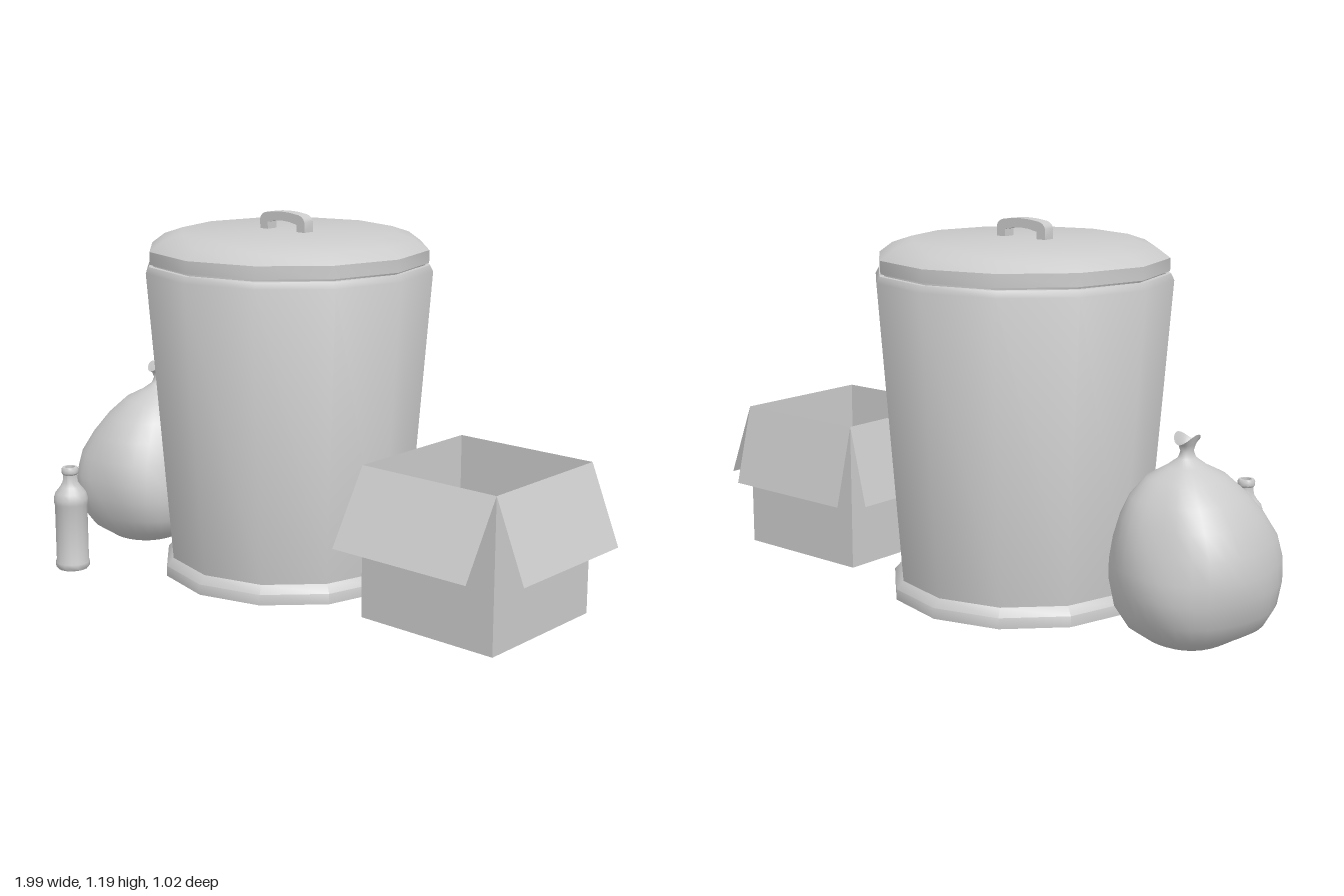
import * as THREE from 'three';
import { mergeVertices, toCreasedNormals } from 'three/addons/utils/BufferGeometryUtils.js';

const material = new THREE.MeshStandardMaterial({ color: 0xcccccc, side: THREE.DoubleSide });

function addMesh(parent, name, geometry, x = 0, y = 0, z = 0) {
  const mesh = new THREE.Mesh(geometry, material);
  mesh.name = name;
  mesh.position.set(x, y, z);
  parent.add(mesh);
  return mesh;
}

// Turned part from [radius, height] pairs, smooth with sharp rims
function turned(profile, sides) {
  const points = profile.map(([r, y]) => new THREE.Vector2(r, y));
  return toCreasedNormals(new THREE.LatheGeometry(points, sides), 0.75);
}

// Twelve-sided bin with flanged foot, domed lid and arched handle
function createBin() {
  const bin = new THREE.Group();
  bin.name = 'bin';
  bin.position.set(-0.105, 0, -0.045);
  addMesh(bin, 'binBody', turned([
    [0, 0.016], [0.416, 0.016], [0.416, 0.05], [0.393, 0.075],
    [0.465, 1.01], [0.455, 1.03], [0.44, 1.03],
  ], 12));
  addMesh(bin, 'binLid', turned([
    [0, 1.037], [0.452, 1.037], [0.452, 1.077], [0.41, 1.108], [0.35, 1.128], [0, 1.13],
  ], 12));

  const arch = new THREE.Shape();
  arch.moveTo(-0.095, 0);
  arch.lineTo(-0.095, 0.035);
  arch.quadraticCurveTo(-0.09, 0.05, -0.07, 0.055);
  arch.quadraticCurveTo(0, 0.067, 0.07, 0.055);
  arch.quadraticCurveTo(0.09, 0.05, 0.095, 0.035);
  arch.lineTo(0.095, 0);
  arch.lineTo(0.062, 0);
  arch.lineTo(0.062, 0.024);
  arch.quadraticCurveTo(0, 0.042, -0.062, 0.024);
  arch.lineTo(-0.062, 0);
  const handle = new THREE.ExtrudeGeometry(arch, { depth: 0.04, bevelEnabled: false, curveSegments: 4 });
  addMesh(bin, 'lidHandle', toCreasedNormals(handle, 0.7), 0, 1.128, -0.01);
  return bin;
}

// Lumpy tied bag: a turned profile pushed out of round
function createBag() {
  const profile = [
    [0, 0.02], [0.07, 0.012], [0.14, 0.012], [0.2, 0.045], [0.235, 0.1], [0.25, 0.17], [0.249, 0.23],
    [0.236, 0.3], [0.207, 0.37], [0.17, 0.43], [0.115, 0.487], [0.06, 0.516], [0.025, 0.54],
    [0.018, 0.56], [0.024, 0.58], [0.036, 0.598],
  ].map(([r, y]) => new THREE.Vector2(r, y));
  let geometry = new THREE.LatheGeometry(profile, 32);
  geometry.deleteAttribute('uv');
  geometry.deleteAttribute('normal');
  geometry = mergeVertices(geometry, 1e-4);
  const p = geometry.attributes.position;
  for (let i = 0; i < p.count; i++) {
    const x = p.getX(i), y = p.getY(i), z = p.getZ(i);
    const a = Math.atan2(z, x);
    const body = y < 0.53 ? 1 : 0;
    const lump = 1 + body * (0.02 * Math.sin(3 * a + 9 * y) + 0.012 * Math.sin(5 * a - 14 * y)
      - 0.025 * Math.cos(4 * a));
    const lean = THREE.MathUtils.smoothstep(y, 0.25, 0.55);
    // Two low lumps underneath, and a ragged open tip above the knot
    const sag = y < 0.02 ? -0.01 * Math.abs(Math.sin(a)) * Math.min(1, Math.hypot(x, z) / 0.1) : 0;
    const tip = y > 0.59 ? 0.014 * Math.cos(2 * a) : 0;
    p.setXYZ(i,
      x * 0.97 * lump + 0.025 * lean,
      y + sag + tip,
      z * (body ? 1.05 : 1.25) * lump - 0.022 * lean);
  }
  geometry.computeVertexNormals();
  return geometry;
}

// Open cardboard box with four flaps folded outward
function createBox() {
  const box = new THREE.Group();
  box.name = 'cardboardBox';
  const x0 = 0.417, x1 = 0.901, z0 = -0.285, z1 = 0.2, bottom = 0.025, top = 0.5;

  function panel(name, ...corners) {
    const geometry = new THREE.BufferGeometry();
    geometry.setAttribute('position', new THREE.Float32BufferAttribute(corners.flat(), 3));
    geometry.setIndex([0, 1, 2, 0, 2, 3]);
    geometry.computeVertexNormals();
    addMesh(box, name, geometry);
  }

  panel('boxFloor', [x0, bottom, z0], [x1, bottom, z0], [x1, bottom, z1], [x0, bottom, z1]);
  // Each side: start and end corner, outward direction, flap reach
  const sides = [
    ['front', [x0, z1], [x1, z1], 0, 1, 0.135],
    ['left', [x1, z1], [x1, z0], 1, 0, 0.1],
    ['back', [x1, z0], [x0, z0], 0, -1, 0.065],
    ['right', [x0, z0], [x0, z1], -1, 0, 0.063],
  ];
  for (const [side, [ax, az], [bx, bz], dx, dz, reach] of sides) {
    const low = top - Math.sqrt(0.255 ** 2 - reach ** 2) - 0.01;
    panel(side + 'Wall', [ax, bottom, az], [bx, bottom, bz], [bx, top, bz], [ax, top, az]);
    panel(side + 'Flap',
      [ax + dx * reach, low, az + dz * reach], [bx + dx * reach, low, bz + dz * reach],
      [bx, top, bz], [ax, top, az]);
  }
  return box;
}

export function createModel() {
  const model = new THREE.Group();
  model.name = 'binWithRubbish';
  model.add(createBin());
  addMesh(model, 'rubbishBag', createBag(), -0.755, 0, -0.033);
  addMesh(model, 'bottle', turned([
    [0, 0.012], [0.05, 0.012], [0.056, 0.02], [0.056, 0.034], [0.053, 0.042], [0.053, 0.225], [0.056, 0.235],
    [0.056, 0.25], [0.05, 0.27], [0.034, 0.29], [0.025, 0.305], [0.023, 0.33],
    [0.028, 0.336], [0.028, 0.348], [0.024, 0.355], [0.016, 0.355], [0.016, 0.31], [0, 0.3],
  ], 16), -0.62, 0, 0.453);
  model.add(createBox());
  return model;
}
